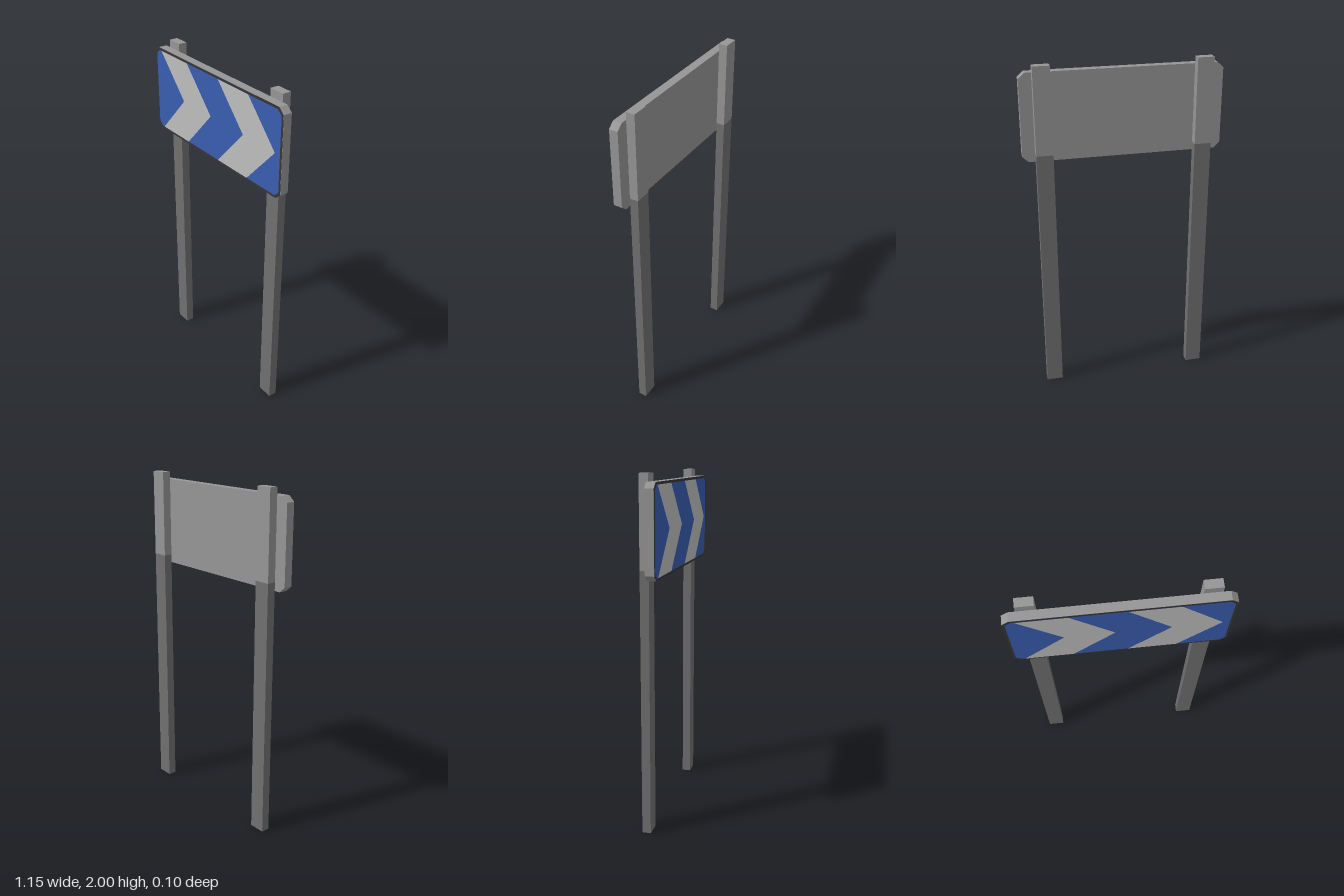
import * as THREE from 'three';

const material = (name, color) => {
  const m = new THREE.MeshStandardMaterial({ color });
  m.name = name;
  return m;
};

export function createModel() {
  const steel = material('grey steel', 0x969696);
  const darkSteel = material('dark steel', 0x707070);
  const black = material('black border', 0x363636);
  const blue = material('blue', 0x3a5db0);
  const white = material('off white', 0xbebebe);

  const group = new THREE.Group();
  const add = (name, geometry, mat, x = 0, y = 0, z = 0) => {
    const mesh = new THREE.Mesh(geometry, mat);
    mesh.name = name;
    mesh.position.set(x, y, z);
    group.add(mesh);
  };
  const polygon = (points) => new THREE.Shape(points.map(([x, y]) => new THREE.Vector2(x, y)));

  // Rectangle with clipped corners, centred on the origin
  const W = 0.577, H = 0.252, BORDER = 0.014, CENTRE_Y = 1.705, FRONT = 0.05;
  const clipped = (w, h, cx, cy) => polygon([
    [-w + cx, -h], [w - cx, -h], [w, -h + cy], [w, h - cy],
    [w - cx, h], [-w + cx, h], [-w, h - cy], [-w, -h + cy],
  ]);

  // Sign board with its painted border and field
  const board = new THREE.ExtrudeGeometry(clipped(W, H, 0.035, 0.031), { depth: FRONT, bevelEnabled: false });
  add('signBoard', board, steel, 0, CENTRE_Y, 0);
  add('border', new THREE.ShapeGeometry(clipped(W, H, 0.035, 0.031)), black, 0, CENTRE_Y, FRONT + 0.001);
  const w = W - BORDER, h = H - BORDER;
  add('blueField', new THREE.ShapeGeometry(clipped(w, h, 0.03, 0.026)), blue, 0, CENTRE_Y, FRONT + 0.002);

  // Chevrons pointing to +x
  const run = 0.225, band = 0.262;
  for (const x of [-0.515, 0.038]) {
    const chevron = polygon([
      [x, -h], [x + band, -h], [x + band + run, 0],
      [x + band, h], [x, h], [x + run, 0],
    ]);
    add('chevron', new THREE.ShapeGeometry(chevron), white, 0, CENTRE_Y, FRONT + 0.003);
  }

  // Two posts, dark below and plain grey behind the board
  const split = 1.5, top = 2;
  for (const [side, name] of [[1, 'left'], [-1, 'right']]) {
    const x = side * 0.457;
    add(name + 'PostLower', new THREE.BoxGeometry(0.096, split, 0.05), darkSteel, x, split / 2, -0.026);
    add(name + 'PostUpper', new THREE.BoxGeometry(0.096, top - split, 0.05), steel, x, (top + split) / 2, -0.026);
  }
  return group;
}
